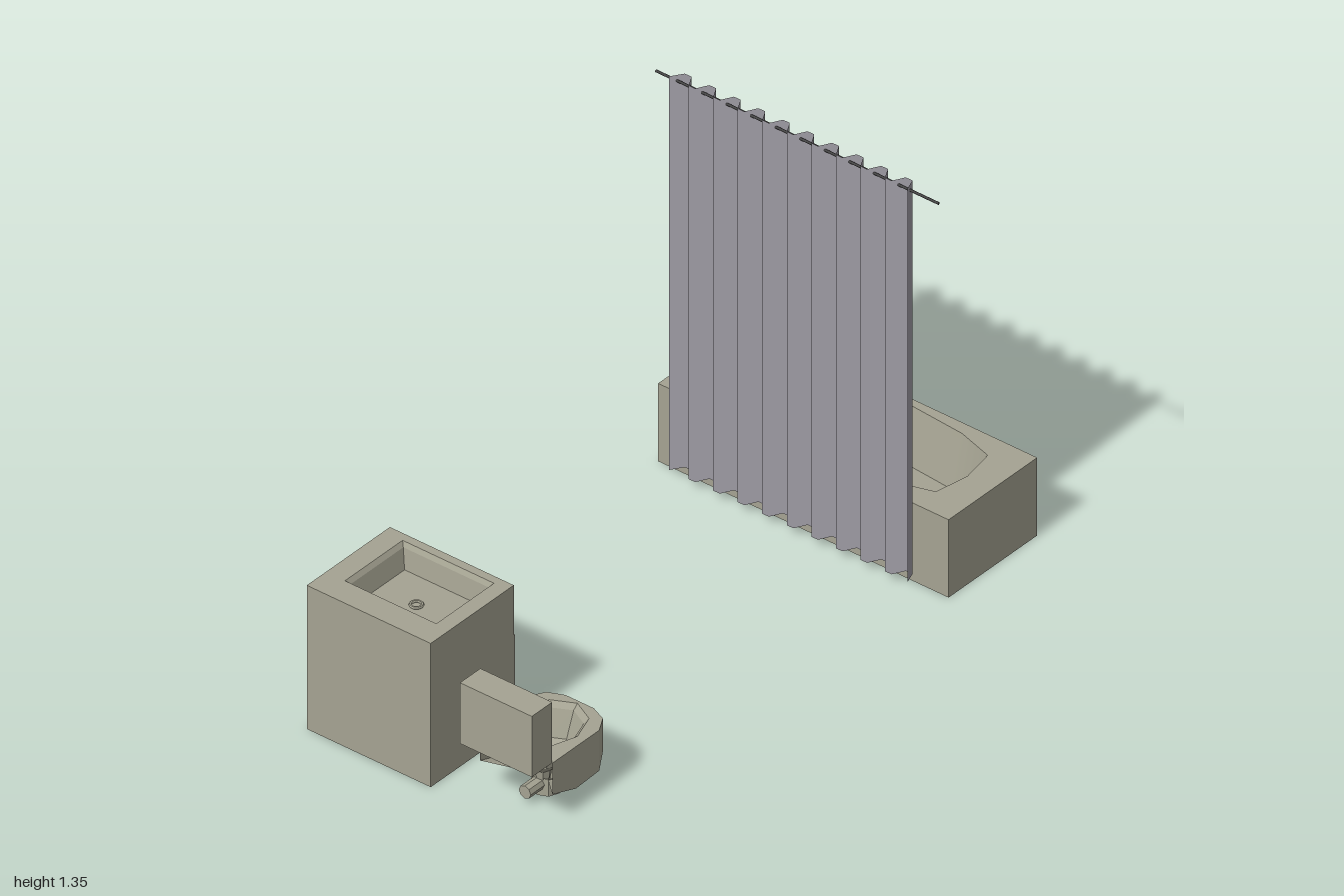
import * as THREE from 'three';

const mat = (color, flatShading = true) =>
  new THREE.MeshStandardMaterial({ color, flatShading, side: THREE.DoubleSide });
const ceramic = mat(0xa5a392);
const ceramicSmooth = mat(0xa5a392, false);
const fabric = mat(0x9c99a2, false);
const metal = mat(0x444444, false);

function add(parent, name, geometry, material = ceramic, x = 0, y = 0, z = 0) {
  const mesh = new THREE.Mesh(geometry, material);
  mesh.name = name;
  mesh.position.set(x, y, z);
  parent.add(mesh);
  return mesh;
}

// Skin between rings of [x, y, z] points
function loft(rings, closed = true) {
  const n = rings[0].length, index = [];
  for (let r = 0; r < rings.length - 1; r++) {
    for (let i = 0; i < (closed ? n : n - 1); i++) {
      const a = r * n + i, b = r * n + (i + 1) % n;
      index.push(a, a + n, b, b, a + n, b + n);
    }
  }
  const g = new THREE.BufferGeometry();
  g.setAttribute('position', new THREE.Float32BufferAttribute(rings.flat(2), 3));
  g.setIndex(index);
  g.computeVertexNormals();
  return g;
}

const at = (outline, y) => outline.map(([x, z]) => [x, y, z]);
const rect = (x0, x1, z0, z1) => [[x0, z0], [x1, z0], [x1, z1], [x0, z1]];
const vec = (outline) => outline.map(([x, z]) => new THREE.Vector2(x, z));

// Horizontal or upright sheet with an optional opening
function sheet(outline, hole, horizontal = true) {
  const s = new THREE.Shape(vec(outline));
  if (hole) s.holes.push(new THREE.Path(vec(hole)));
  const g = new THREE.ShapeGeometry(s);
  return horizontal ? g.rotateX(Math.PI / 2) : g;
}

function box(parent, name, x0, x1, y0, y1, z0, z1) {
  return add(parent, name, new THREE.BoxGeometry(x1 - x0, y1 - y0, z1 - z0), ceramic,
    (x0 + x1) / 2, (y0 + y1) / 2, (z0 + z1) / 2);
}

function makeTub() {
  const g = new THREE.Group();
  g.name = 'bathtub';
  // Barrel-shaped outline from one quarter, mirrored both ways
  const barrel = (quarter) => {
    const half = [...quarter, ...quarter.slice(0, -1).reverse().map(([x, z]) => [-x, z])];
    return [...half, ...half.slice(1, -1).reverse().map(([x, z]) => [x, -z])]
      .map(([x, z]) => [x, z - 0.811]);
  };
  const rim = barrel([[0.42, 0], [0.4, 0.112], [0.28, 0.148], [0, 0.17]]);
  const foot = barrel([[0.355, 0], [0.345, 0.08], [0.27, 0.112], [0, 0.135]]);
  const outer = rect(-0.515, 0.512, -1, -0.617);
  add(g, 'tubSides', loft([at(outer, 0.26), at(outer, 0)]));
  add(g, 'tubRim', sheet(outer, rim), ceramic, 0, 0.26);
  add(g, 'tubBase', sheet(outer));
  add(g, 'tubBasin', loft([at(rim, 0.26), at(foot, 0.09)]), ceramicSmooth);
  add(g, 'tubFloor', sheet(foot), ceramic, 0, 0.09);
  return g;
}

function makeCurtain() {
  const g = new THREE.Group();
  g.name = 'showerCurtain';
  // Flat-topped pleats running to either side of the rod
  const pleats = 10, period = 0.0868, d = 0.01;
  const columns = [];
  for (let k = 0; k < pleats; k++) {
    const x = -0.423 + k * period, m = x + period / 2;
    columns.push([x - d, 1], [x + d, -1], [m - d, -1], [m + d, 1]);
  }
  columns[0][0] = -0.438;
  columns[columns.length - 1][0] = 0.405;
  const cloth = new THREE.PlaneGeometry(1, 1.315, columns.length - 1, 1);
  const p = cloth.attributes.position;
  for (let i = 0; i < p.count; i++) {
    const [x, side] = columns[i % columns.length];
    p.setX(i, x);
    p.setZ(i, side * 0.0185);
  }
  add(g, 'curtain', cloth, fabric, 0, 0.6875, -0.5895);
  add(g, 'curtainRod', new THREE.CylinderGeometry(0.004, 0.004, 1, 8).rotateZ(Math.PI / 2),
    metal, 0, 1.326, -0.5895);
  return g;
}

function makeVanity() {
  const g = new THREE.Group();
  g.name = 'washstand';
  const x0 = -0.45, x1 = -0.012, z0 = 0.621, z1 = 0.98, h = 0.48;
  // Cabinet, open underneath
  const walls = [[x0, z0], [x0, z1], [x1, z1], [x1, z0]];
  add(g, 'cabinetSides', loft([at(walls, h), at(walls, 0)], false));
  const rim = rect(-0.383, -0.06, 0.648, 0.897);
  const lip = rect(-0.374, -0.071, 0.656, 0.888);
  const foot = rect(-0.362, -0.085, 0.665, 0.868);
  add(g, 'counterTop', sheet(rect(x0, x1, z0, z1), rim), ceramic, 0, h);
  add(g, 'sinkBasin', loft([at(rim, h), at(lip, 0.465), at(foot, 0.4)]));
  add(g, 'sinkFloor', sheet(foot), ceramic, 0, 0.4);
  add(g, 'sinkDrain', new THREE.TorusGeometry(0.017, 0.005, 6, 10).rotateX(Math.PI / 2),
    ceramic, -0.23, 0.402, 0.775);

  // Drawer set into a shallow recess, doors standing slightly proud
  const recess = rect(x0 + 0.02, x1 - 0.02, 0.33, 0.44);
  add(g, 'cabinetFace', sheet(rect(x0, x1, 0, h), recess, false), ceramic, 0, 0, z0);
  add(g, 'drawerFrame', loft([z0, z0 + 0.012].map((z) => recess.map(([x, y]) => [x, y, z]))));
  add(g, 'drawerBack', sheet(recess, null, false), ceramic, 0, 0, z0 + 0.012);
  box(g, 'drawer', x0 + 0.028, x1 - 0.028, 0.338, 0.432, z0 + 0.004, z0 + 0.012);
  const mid = (x0 + x1) / 2;
  box(g, 'doorRight', x0, mid - 0.002, 0, 0.312, z0 - 0.006, z0);
  box(g, 'doorLeft', mid + 0.002, x1, 0, 0.312, z0 - 0.006, z0);
  return g;
}

function makeToilet() {
  const g = new THREE.Group();
  g.name = 'toilet';
  const cx = 0.235, top = 0.21;
  box(g, 'cistern', cx - 0.127, cx + 0.127, top, 0.413, 0.912, 1);

  // Half outline as x, z and height of the wavy lower edge
  const half = [[0.128, 0.912, 0.105], [0.128, 0.81, 0.07], [0.128, 0.71, 0.075],
    [0.1, 0.66, 0.1], [0.05, 0.638, 0.105]];
  const edge = [...half, ...half.slice().reverse().map(([x, z, y]) => [-x, z, y])];
  const outline = edge.map(([x, z]) => [cx + x, z]);
  const lower = edge.map(([x, z, y]) => [cx + x, y, z]);
  const neck = edge.map(([x, z]) => {
    const a = Math.atan2(z - 0.78, x);
    return [cx + 0.044 * Math.cos(a), 0.055, 0.78 + 0.044 * Math.sin(a)];
  });
  add(g, 'bowlSkirt', loft([at(outline, top), lower], false));
  add(g, 'bowlUnderside', loft([lower, neck], false));

  // Eight-sided bowl narrowing to the outlet
  const octagon = (rx, rz, cz) => Array.from({ length: 8 }, (_, i) => {
    const a = (i * Math.PI) / 4;
    return [cx + rx * Math.sin(a), cz - rz * Math.cos(a)];
  });
  const rim = octagon(0.1, 0.122, 0.77);
  add(g, 'toiletRim', sheet(outline, rim), ceramic, 0, top);
  add(g, 'toiletBowl', loft([
    at(rim, top), at(octagon(0.086, 0.106, 0.77), 0.195),
    at(octagon(0.068, 0.085, 0.78), 0.115),
    at(octagon(0.028, 0.028, 0.8), 0.08), at(octagon(0.024, 0.024, 0.8), 0.05)]));
  add(g, 'outletFloor', sheet(octagon(0.024, 0.024, 0.8)), ceramic, 0, 0.05);
  add(g, 'pedestal', new THREE.CylinderGeometry(0.044, 0.044, 0.058, 8, 1, true), ceramic, cx, 0.029, 0.78);
  add(g, 'wastePipe', new THREE.CylinderGeometry(0.021, 0.021, 0.09, 8).rotateX(Math.PI / 2),
    ceramic, cx, 0.036, 0.83);
  return g;
}

export function createModel() {
  const model = new THREE.Group();
  model.name = 'bathroomSet';
  model.add(makeTub(), makeCurtain(), makeVanity(), makeToilet());
  return model;
}
